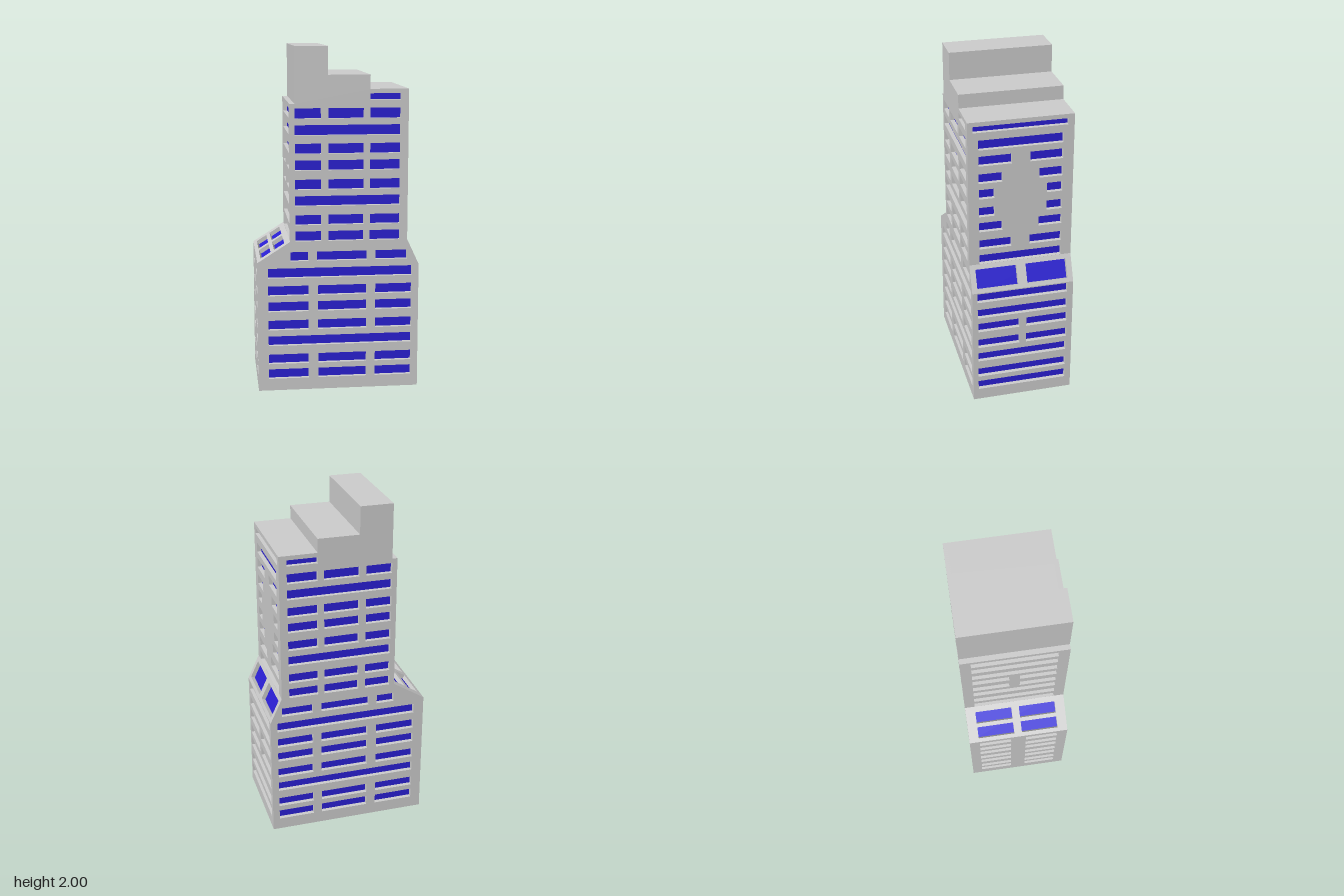
import * as THREE from 'three';

const RECESS = 0.025, HALF_DEPTH = 0.3, HALF_WINDOW = 0.029;
const wallMaterial = new THREE.MeshStandardMaterial({ color: 0xcccccc });
const glassMaterial = new THREE.MeshStandardMaterial({ color: 0x2a1fd3 });

// Tower outline seen from the front, counter-clockwise
const outline = [
  [-0.47, 0], [0.47, 0], [0.47, 0.74], [0.4, 0.89], [0.4, 1.76], [0.18, 1.76], [0.18, 1.84],
  [-0.06, 1.84], [-0.06, 2], [-0.25, 2], [-0.25, 1.68], [-0.28, 1.68], [-0.28, 0.89], [-0.47, 0.77],
].map(([x, y]) => new THREE.Vector2(x, y));

// A window row: height of its middle, then the [from, to] span of each window
const row = (y, spans, half = HALF_WINDOW) => spans.map(([a, b]) => [a, b, y - half, y + half]);
const rows = (ys, spans) => ys.flatMap((y) => row(y, spans));
const split = (outer, inner) => [[-outer, -inner], [inner, outer]];

const upperBays = [[-0.25, -0.1], [-0.06, 0.145], [0.18, 0.355]];
const lowerBays = [[-0.41, -0.175], [-0.12, 0.165], [0.215, 0.43]];
const faceWindows = [
  ...row(1.725, [[0.18, 0.355]], 0.025),
  ...rows([1.625, 1.425, 1.33, 1.22, 1.015, 0.92], upperBays),
  ...rows([1.53, 1.125], [[-0.25, 0.355]]),
  ...row(0.802, [[-0.28, -0.175], [-0.125, 0.165], [0.215, 0.4]], 0.027),
  ...rows([0.705, 0.3], [[-0.41, 0.43]]),
  ...rows([0.6, 0.505, 0.395, 0.19, 0.1], lowerBays),
];

// Windows of the side walls, keyed by the outline edge they sit on
const wide = [[-0.265, 0.27]];
const sideWindows = {
  1: [...rows([0.705, 0.6, 0.3, 0.19, 0.1], wide), ...rows([0.505, 0.395], split(0.268, 0.02))],
  2: row(0.813, split(0.268, 0.027), 0.051),
  3: [
    ...row(1.725, wide, 0.026),
    ...rows([1.625, 0.92], [[-0.24, 0.24]]),
    ...rows([1.53, 1.015], split(0.24, 0.052)),
    ...rows([1.425, 1.125], split(0.24, 0.105)),
    ...rows([1.33, 1.22], split(0.24, 0.15)),
  ],
  11: [
    ...rows([1.625, 1.53, 1.425, 1.125, 1.015, 0.92], [[-0.24, 0.24]]),
    ...rows([1.33, 1.22], split(0.24, 0.03)),
  ],
  12: [...row(0.8015, split(0.242, 0.023), 0.0185), ...row(0.852, split(0.242, 0.023), 0.019)],
  13: rows([0.705, 0.6, 0.505, 0.395, 0.3, 0.19, 0.1], split(0.24, 0.045)),
};

const edgeAt = (i) => {
  const a = outline[i], b = outline[(i + 1) % outline.length];
  const t = b.clone().sub(a).normalize();
  return { a, t, n: new THREE.Vector2(t.y, -t.x), length: a.distanceTo(b) };
};

// Extruded slab with rectangular openings [u0, u1, v0, v1]
function slab(points, windows, depth) {
  const shape = new THREE.Shape(points);
  for (const [u0, u1, v0, v1] of windows) {
    shape.holes.push(new THREE.Path([
      new THREE.Vector2(u0, v0), new THREE.Vector2(u0, v1),
      new THREE.Vector2(u1, v1), new THREE.Vector2(u1, v0),
    ]));
  }
  return new THREE.ExtrudeGeometry(shape, { depth, bevelEnabled: false });
}

// Wall, slope, ledge or floor along one edge of the outline
function edgePanel(i) {
  const { a, t, n, length } = edgeAt(i);
  const w = HALF_DEPTH - 0.0005;
  const corners = [[-w, 0], [w, 0], [w, length], [-w, length]].map(([u, v]) => new THREE.Vector2(u, v));
  const openings = (sideWindows[i] || []).map(([z0, z1, y0, y1]) => {
    const v = [(y0 - a.y) / t.y, (y1 - a.y) / t.y];
    return [-z1, -z0, Math.min(...v), Math.max(...v)];
  });
  const frame = new THREE.Matrix4().makeBasis(
    new THREE.Vector3(0, 0, -1), new THREE.Vector3(t.x, t.y, 0), new THREE.Vector3(n.x, n.y, 0));
  frame.setPosition(a.x - n.x * RECESS, a.y - n.y * RECESS, 0);
  return slab(corners, openings, RECESS).applyMatrix4(frame);
}

// Outline moved inwards by the window recess
function insetOutline() {
  return outline.map((p, i) => {
    const n0 = edgeAt((i + outline.length - 1) % outline.length).n, n1 = edgeAt(i).n;
    return p.clone().addScaledVector(n0.clone().add(n1), -RECESS / (1 + n0.dot(n1)));
  });
}

export function createModel() {
  const tower = new THREE.Group();
  tower.name = 'officeTower';
  const add = (name, geometry, material = wallMaterial) => {
    const mesh = new THREE.Mesh(geometry, material);
    mesh.name = name;
    tower.add(mesh);
    return mesh;
  };

  // Blue glass core that shows through every opening
  const inner = HALF_DEPTH - RECESS;
  add('glassCore', slab(insetOutline(), [], 2 * inner).translate(0, 0, -inner), glassMaterial);

  // Front and back facades
  add('frontFacade', slab(outline, faceWindows, RECESS).translate(0, 0, inner));
  add('backFacade', slab(outline, faceWindows, RECESS).translate(0, 0, -HALF_DEPTH));

  // Side walls, slopes, roof steps and floor
  const names = [
    'floor', 'leftLowerWall', 'leftSlope', 'leftUpperWall', 'lowRoof', 'lowRoofStep', 'middleRoof',
    'middleRoofStep', 'topRoof', 'topRoofWall', 'roofLedge', 'rightUpperWall', 'rightSlope', 'rightLowerWall',
  ];
  names.forEach((name, i) => add(name, edgePanel(i)));
  return tower;
}
